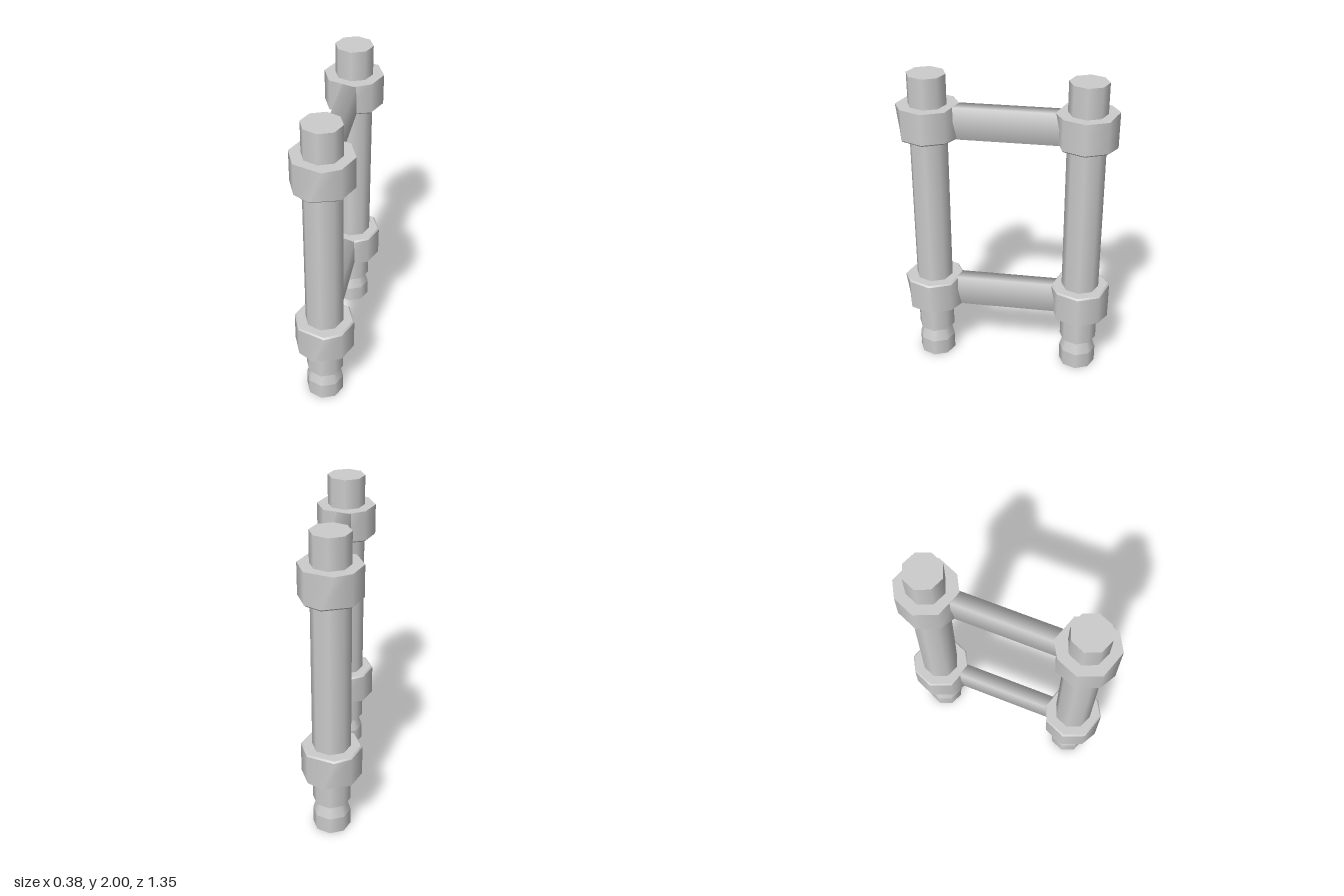
import * as THREE from 'three';

const POLE_Z = 0.485;
const SIDES = 8;

// Slides the front and back corners of an octagonal ring sideways, giving a slight twist
function twist(geometry, shiftAt) {
  const p = geometry.attributes.position;
  for (let i = 0; i < p.count; i++) {
    const z = p.getZ(i);
    if (Math.abs(p.getX(i)) < 0.01 && Math.abs(z) > 0.1) {
      p.setX(i, Math.sign(z) * shiftAt(p.getY(i)));
    }
  }
  return geometry;
}

export function createModel() {
  const model = new THREE.Group();
  const grey = new THREE.MeshStandardMaterial({ color: 0xcccccc });
  grey.name = 'plain grey';

  const add = (parent, name, geometry, x, y, z) => {
    const mesh = new THREE.Mesh(geometry, grey);
    mesh.name = name;
    mesh.position.set(x, y, z);
    parent.add(mesh);
    return mesh;
  };

  // Upright poles, each on a foot with a tapered neck
  const shaft = new THREE.CylinderGeometry(0.12, 0.12, 1.8, SIDES);
  const foot = new THREE.CylinderGeometry(0.12, 0.12, 0.11, SIDES);
  const neck = new THREE.CylinderGeometry(0.092, 0.12, 0.09, SIDES, 1, true);
  for (const side of [1, -1]) {
    const post = new THREE.Group();
    post.name = side > 0 ? 'frontPost' : 'backPost';
    post.position.z = side * POLE_Z;
    add(post, 'shaft', shaft, 0, 1.1, 0);
    add(post, 'foot', foot, 0, 0.055, 0);
    add(post, 'footNeck', neck, 0, 0.155, 0);
    model.add(post);
  }

  // Collars with a small bevel on the lower rim
  const collarBody = twist(
    new THREE.CylinderGeometry(0.19, 0.19, 0.197, SIDES),
    (y) => (y > 0 ? 0.035 : -0.035)
  );
  const collarLip = twist(
    new THREE.CylinderGeometry(0.19, 0.18, 0.01, SIDES),
    () => -0.035
  );

  // Flat crossbar, softly shaded around its four edges
  const bar = new THREE.CylinderGeometry(
    Math.SQRT1_2, Math.SQRT1_2, 1, 4, 1, true, Math.PI / 4
  );
  bar.rotateX(Math.PI / 2);
  bar.scale(0.09, 0.205, 0.66);

  // Each rail joins two collars; the lower one is turned over
  const rails = [
    ['upperRail', 1.705, 0],
    ['lowerRail', 0.503, Math.PI],
  ];
  for (const [name, y, turn] of rails) {
    const rail = new THREE.Group();
    rail.name = name;
    rail.position.y = y;
    rail.rotation.z = turn;
    for (const side of [1, -1]) {
      const collar = new THREE.Group();
      collar.name = side > 0 ? 'frontCollar' : 'backCollar';
      collar.position.z = side * POLE_Z;
      add(collar, 'collarBody', collarBody, 0, 0.005, 0);
      add(collar, 'collarLip', collarLip, 0, -0.0985, 0);
      rail.add(collar);
    }
    add(rail, 'crossbar', bar, 0, 0, 0);
    model.add(rail);
  }

  return model;
}
